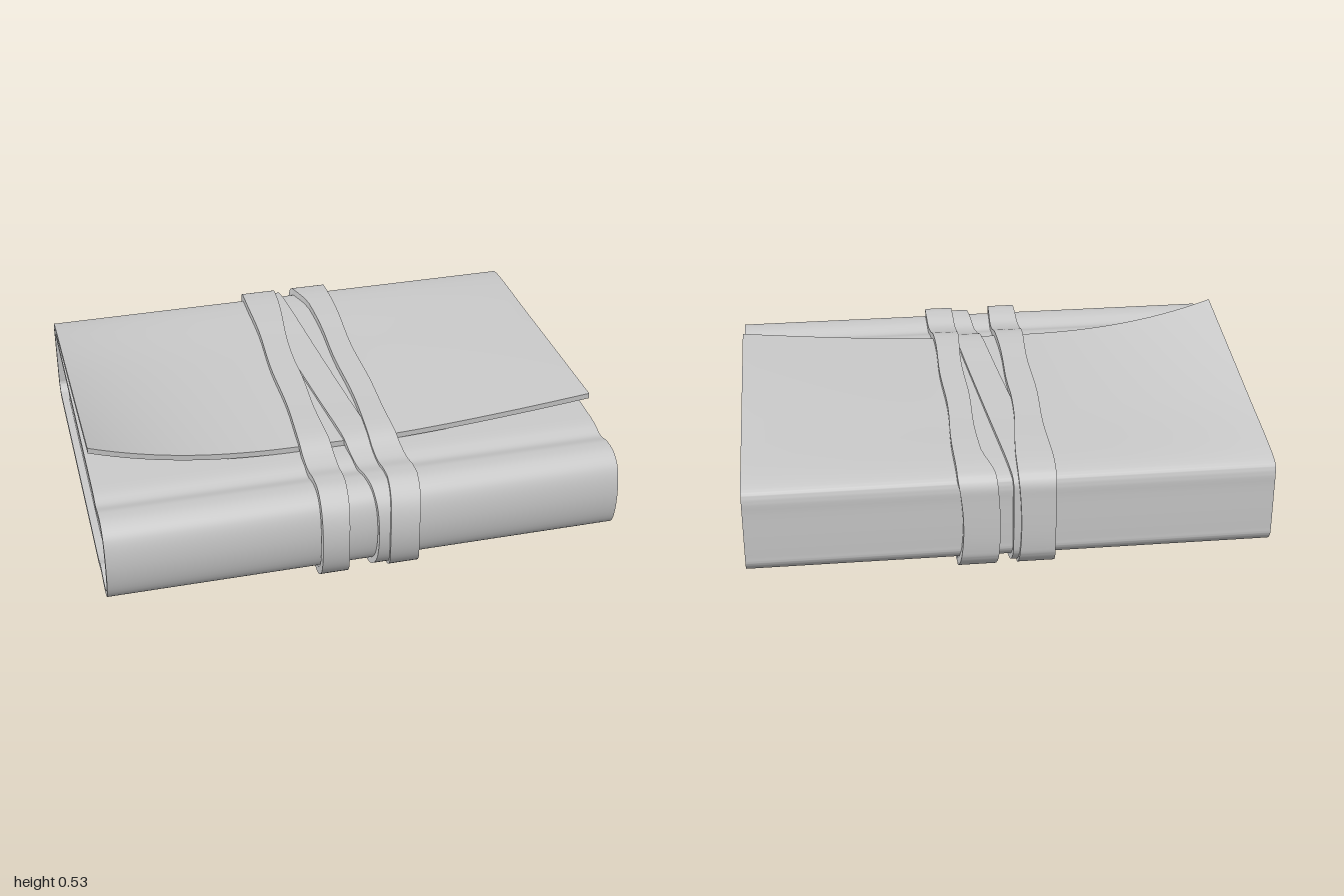
import * as THREE from 'three';
import { toCreasedNormals } from 'three/addons/utils/BufferGeometryUtils.js';

const material = new THREE.MeshStandardMaterial({ color: 0xcccccc });

// Smooth curve through [z, y] points, in the plane x = 0
const curveOf = (points, closed = false) =>
  new THREE.CatmullRomCurve3(points.map(([z, y]) => new THREE.Vector3(0, y, z)), closed, 'centripetal');

// Thick leather sheet swept along a [z, y] path.
// edges(z, y) gives its left and right x; lift(x, z, u) bends it upwards.
function sheet(name, points, { closed = false, thickness, offset = 0, columns = 1, edges, lift = () => 0 }) {
  const curve = curveOf(points, closed);
  const steps = points.length * 6;
  const ring = 2 * (columns + 1);
  const pos = [], index = [];
  for (let i = 0; i <= steps; i++) {
    const u = i / steps;
    const p = curve.getPoint(u), t = curve.getTangent(u);
    const [x0, x1] = edges(p.z, p.y);
    for (let k = 0; k < ring; k++) {
      const outer = k <= columns;
      const f = (outer ? k : ring - 1 - k) / columns;
      const x = x0 + (x1 - x0) * f;
      const d = outer ? offset : offset - thickness;
      pos.push(x, p.y + t.z * d + lift(x, p.z, u), p.z - t.y * d);
    }
  }
  for (let i = 0; i < steps; i++) {
    for (let k = 0; k < ring; k++) {
      const a = i * ring + k, b = i * ring + (k + 1) % ring;
      index.push(a, a + ring, b + ring, a, b + ring, b);
    }
  }
  if (!closed) {
    const e = steps * ring;
    for (let k = 0; k < columns; k++) {
      const t0 = k, t1 = k + 1, b0 = ring - 1 - k, b1 = ring - 2 - k;
      index.push(t0, t1, b1, t0, b1, b0);
      index.push(e + t0, e + b0, e + b1, e + t0, e + b1, e + t1);
    }
  }
  const geometry = new THREE.BufferGeometry();
  geometry.setAttribute('position', new THREE.Float32BufferAttribute(pos, 3));
  geometry.setIndex(index);
  const mesh = new THREE.Mesh(toCreasedNormals(geometry, 0.7), material);
  mesh.name = name;
  return mesh;
}

// Cover profile: top board, rounded spine, bottom board, fore edge, then the flap
const spine = [
  [0.5, 0.375], [0.56, 0.362], [0.63, 0.378], [0.7, 0.374], [0.75, 0.335], [0.775, 0.21],
  [0.75, 0.085], [0.7, 0.046], [0.63, 0.042], [0.56, 0.056], [0.5, 0.04],
];
const cover = [
  [-0.745, 0.378], [-0.3, 0.378], [0.4, 0.378], ...spine,
  [0.3, 0.04], [-0.3, 0.04], [-0.7, 0.04], [-0.745, 0.045], [-0.782, 0.085], [-0.785, 0.12],
  [-0.785, 0.3], [-0.785, 0.36], [-0.775, 0.388], [-0.745, 0.399], [-0.3, 0.402], [0.415, 0.402],
];

// The flap's two free corners curl up, one higher than the other
function flapLift(x, z, u) {
  if (u < 0.85) return 0;
  const t = Math.max(0, (Math.abs(x) - 0.15) / 0.85);
  const rise = x < 0 ? 0.125 * t ** 2.4 : 0.065 * t ** 1.4;
  return rise * THREE.MathUtils.clamp((z + 0.76) / 1.18, 0, 1);
}

// Page block, rounded at the spine
function pages() {
  const shape = new THREE.Shape();
  shape.moveTo(-0.665, 0.064);
  shape.lineTo(0.5, 0.064);
  const arc = curveOf([
    [0.5, 0.064], [0.56, 0.08], [0.63, 0.066], [0.69, 0.07], [0.73, 0.1], [0.751, 0.21],
    [0.73, 0.32], [0.69, 0.35], [0.63, 0.354], [0.56, 0.338], [0.5, 0.354],
  ]);
  arc.getPoints(50).slice(1).forEach((p) => shape.lineTo(p.z, p.y));
  shape.lineTo(-0.665, 0.354);
  shape.closePath();
  const geometry = new THREE.ExtrudeGeometry(shape, { depth: 1.94, bevelEnabled: false });
  geometry.translate(0, 0, -0.97).rotateY(-Math.PI / 2);
  const mesh = new THREE.Mesh(toCreasedNormals(geometry, 0.6), material);
  mesh.name = 'pages';
  return mesh;
}

// Outer path of the straps around the closed book
const wrap = [
  [-0.66, 0.432], [-0.3, 0.428], [0.1, 0.426], [0.38, 0.428], [0.43, 0.42], [0.48, 0.402], [0.56, 0.39],
  [0.64, 0.404], [0.72, 0.4], [0.79, 0.34], [0.818, 0.21],
  [0.79, 0.08], [0.72, 0.015], [0.64, 0.012], [0.56, 0.022], [0.48, 0.006],
  [0.2, 0.002], [-0.3, 0.002], [-0.7, 0.006], [-0.76, 0.014], [-0.81, 0.07], [-0.82, 0.12],
  [-0.82, 0.32], [-0.815, 0.385], [-0.79, 0.416], [-0.74, 0.427],
];

// Straps narrow a little at half height on the spine and fore edge
const pinch = (z, y) => (Math.abs(z) > 0.7 ? 0.02 * Math.sin(Math.PI * THREE.MathUtils.clamp(y / 0.42, 0, 1)) : 0);
const wobble = (z) => 0.004 * Math.sin(z * 11);

const straps = {
  rightStrap: (z, y) => [
    -0.176 - 0.018 * z + wobble(z),
    -0.07 + 0.08 * Math.max(0, -z - 0.18) - pinch(z, y) * 0.6 + wobble(z + 0.2),
  ],
  leftStrap: (z, y) => [
    0.1 - 0.04 * THREE.MathUtils.smoothstep(-z, 0.6, 0.82) - 0.02 * Math.max(0, z) - pinch(z, y) * 0.6 + wobble(z),
    0.194 + 0.022 * z * z - pinch(z, y) + wobble(z + 0.1),
  ],
};

export function createModel() {
  const group = new THREE.Group();
  group.name = 'wrappedJournal';
  group.add(pages());
  group.add(sheet('leatherCover', cover, {
    thickness: 0.023, columns: 40, edges: () => [-1, 1], lift: flapLift,
  }));
  for (const [name, edges] of Object.entries(straps)) {
    group.add(sheet(name, wrap, { closed: true, thickness: 0.03, edges }));
  }
  // Slanted turn of the strap, running beneath the other two
  group.add(sheet('slantedStrap', wrap, {
    closed: true, thickness: 0.025, offset: -0.012,
    edges: (z) => [-0.05 + 0.1 * z, 0.068 + 0.088 * z],
  }));
  return group;
}
